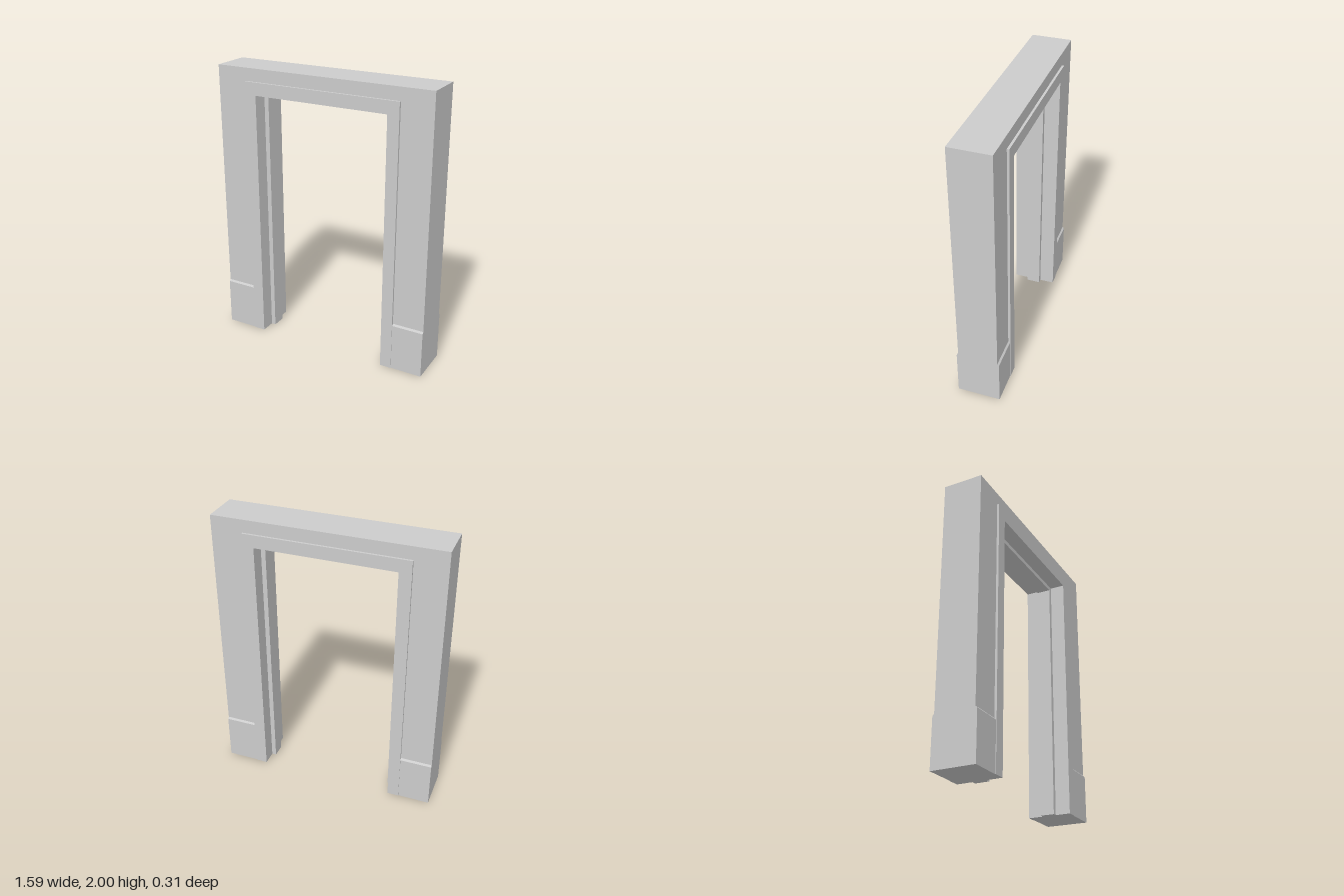
import * as THREE from 'three';

const material = new THREE.MeshStandardMaterial({ color: 0xcccccc, flatShading: true });

function addMesh(parent, name, geometry) {
  const mesh = new THREE.Mesh(geometry, material);
  mesh.name = name;
  parent.add(mesh);
  return mesh;
}

// Upside-down U in the front plane, extruded evenly about z = 0
function portal(outerX, outerY, innerX, innerY, depth) {
  const shape = new THREE.Shape([
    [-outerX, 0], [-innerX, 0], [-innerX, innerY], [innerX, innerY],
    [innerX, 0], [outerX, 0], [outerX, outerY], [-outerX, outerY],
  ].map(([x, y]) => new THREE.Vector2(x, y)));
  return new THREE.ExtrudeGeometry(shape, { depth, bevelEnabled: false })
    .translate(0, 0, -depth / 2);
}

// Plinth pad with a chamfered top edge, running along x and projecting to +z
function plinth(width, wallZ, faceZ, height, chamfer) {
  const shape = new THREE.Shape([
    [-wallZ, 0], [-wallZ, height], [-faceZ, height - chamfer], [-faceZ, 0],
  ].map(([x, y]) => new THREE.Vector2(x, y)));
  return new THREE.ExtrudeGeometry(shape, { depth: width, bevelEnabled: false })
    .rotateY(Math.PI / 2)
    .translate(-width / 2, 0, 0);
}

export function createModel() {
  const group = new THREE.Group();
  group.name = 'doorway';

  const wallX = 0.797, wallZ = 0.141;
  const trimX = 0.572, trimY = 1.91, trimZ = 0.157;
  const jambX = 0.49, jambY = 1.82;

  // Nested frames: wall, casing with lining, and the central door stop
  addMesh(group, 'wall', portal(wallX, 2, trimX, trimY, wallZ * 2));
  addMesh(group, 'casing', portal(trimX, trimY, jambX, jambY, trimZ * 2));
  addMesh(group, 'doorStop', portal(jambX, jambY, 0.458, 1.79, 0.1));

  // Plinths on both faces of both piers
  const plinthGeometry = plinth(wallX - trimX, wallZ, 0.153, 0.35, 0.012);
  for (const side of [-1, 1]) {
    for (const turn of [0, Math.PI]) {
      const pad = addMesh(group, 'plinth', plinthGeometry);
      pad.position.x = side * (wallX + trimX) / 2;
      pad.rotation.y = turn;
    }
  }
  return group;
}
